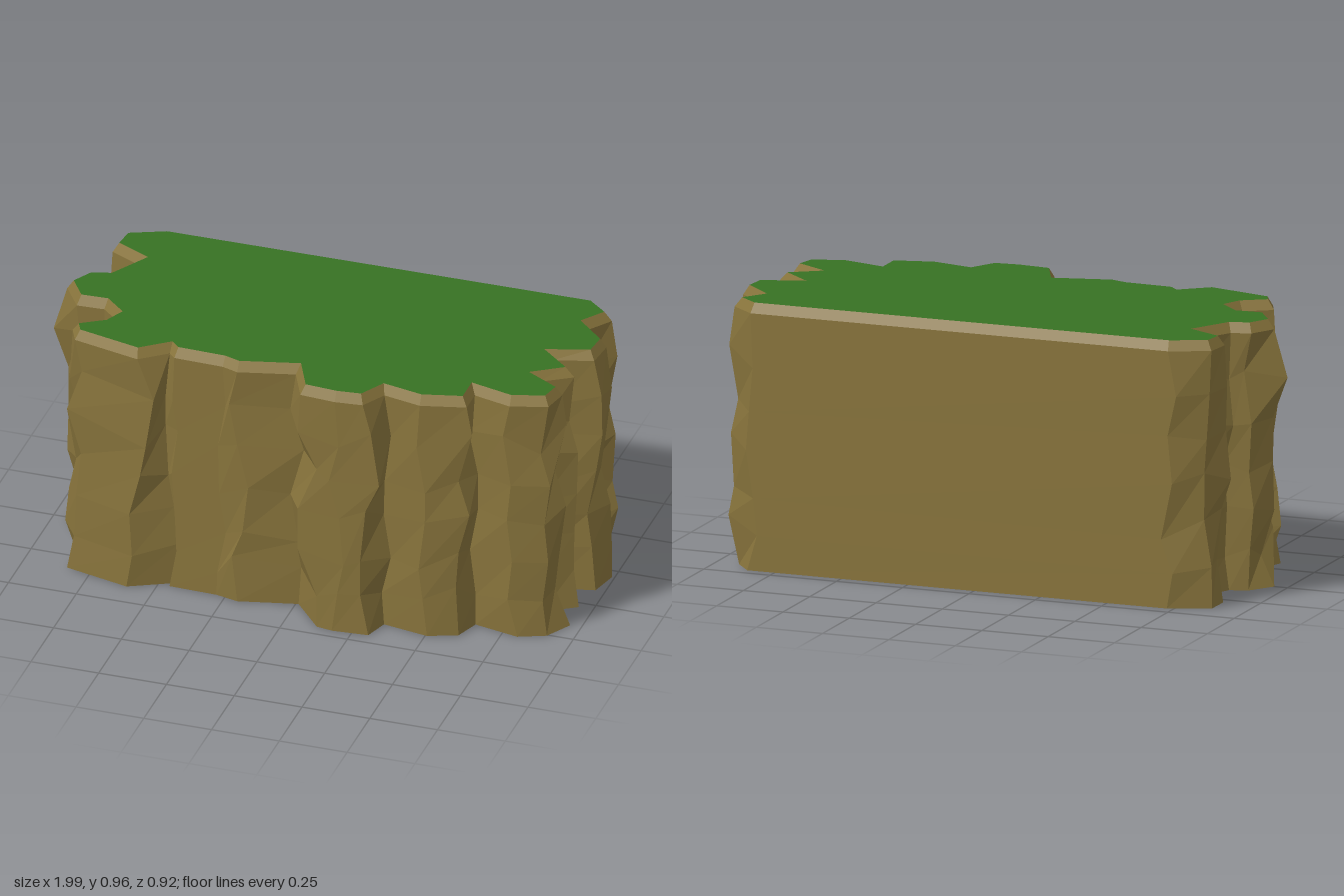
import * as THREE from 'three';

// Cliff columns [x, z], running from back right round the front to back left
const OUTLINE = [
  [0.84, -0.46], [0.93, -0.385], [0.87, -0.3], [0.97, -0.205], [0.96, -0.1], [0.82, -0.06],
  [0.93, 0.03], [0.82, 0.1], [0.93, 0.16], [0.91, 0.255], [0.78, 0.295], [0.64, 0.26],
  [0.64, 0.35], [0.48, 0.39], [0.34, 0.36], [0.29, 0.45], [0.19, 0.46], [0.06, 0.45],
  [0, 0.32], [-0.2, 0.37], [-0.26, 0.35], [-0.44, 0.345], [-0.465, 0.32], [-0.56, 0.395],
  [-0.81, 0.335], [-0.84, 0.27], [-0.745, 0.21], [-0.72, 0.155], [-0.78, 0.1], [-0.88, 0.105],
  [-0.95, 0], [-0.9, -0.09], [-0.83, -0.11], [-0.76, -0.23], [-0.88, -0.29], [-0.87, -0.39],
  [-0.73, -0.45],
];
const ROWS = [0, 0.14, 0.29, 0.45, 0.61, 0.77, 0.925];
const TOP = 0.96;

// Prominent ridges: x of each row below the rim, bottom to top
const RIDGES = {
  3: [0.99, 0.99, 0.985, 0.95, 0.97, 0.99],
  12: [0.61, 0.6, 0.61, 0.65, 0.61, 0.66],
  15: [0.31, 0.28, 0.28, 0.3, 0.35, 0.32],
  17: [0.12, 0.12, 0.05, 0.05, 0.12, 0.05],
  18: [0.01, 0.02, 0.01, -0.02, 0.03, -0.02],
  19: [-0.2, -0.22, -0.18, -0.16, -0.2, -0.23],
  22: [-0.45, -0.43, -0.45, -0.47, -0.48, -0.48],
  23: [-0.6, -0.58, -0.59, -0.55, -0.53, -0.5],
  30: [-0.95, -0.9, -0.95, -0.945, -0.945, -1],
};

function seeded(seed) {
  return () => {
    seed = (seed * 16807) % 2147483647;
    return (seed / 2147483647) * 2 - 1;
  };
}

// Shrink the outline for the bevelled rim
function inset(points, amount) {
  const n = points.length;
  return points.map((p, i) => {
    const a = points[(i + n - 1) % n], b = points[(i + 1) % n];
    const normal = (s, e) => new THREE.Vector2(-(e[1] - s[1]), e[0] - s[0]).normalize();
    const n1 = normal(a, p), n2 = normal(p, b);
    const miter = n1.clone().add(n2).normalize();
    const length = amount / Math.max(0.6, miter.dot(n1));
    return [p[0] + miter.x * length, p[1] + miter.y * length];
  });
}

export function createModel() {
  const rock = new THREE.MeshStandardMaterial({ color: 0x88743c, flatShading: true, side: THREE.DoubleSide });
  rock.name = 'rock brown';
  const grass = new THREE.MeshStandardMaterial({ color: 0x377223, side: THREE.DoubleSide });
  grass.name = 'grass green';

  const rand = seeded(4217);
  const rim = inset(OUTLINE, 0.02);
  const n = OUTLINE.length;
  const levels = ROWS.length + 1;
  const positions = [];

  // Each column keeps its depth and wanders sideways and in height
  OUTLINE.forEach(([x, z], i) => {
    const lift = rand() * 0.025;
    ROWS.forEach((y, r) => {
      const inner = r > 0 && r < ROWS.length - 1;
      const dx = rand() * 0.032, dy = rand() * 0.03 + lift;
      const px = r === ROWS.length - 1 ? x : RIDGES[i] ? RIDGES[i][r] : x + dx;
      positions.push(THREE.MathUtils.clamp(px, -1, 0.99), inner ? y + dy : y, z);
    });
    positions.push(rim[i][0], TOP, rim[i][1]);
  });

  const index = [];
  for (let i = 0; i < n; i++) {
    for (let r = 0; r < levels - 1; r++) {
      const a = i * levels + r, b = ((i + 1) % n) * levels + r;
      index.push(a, a + 1, b, b, a + 1, b + 1);
    }
  }
  const wallGeometry = new THREE.BufferGeometry();
  wallGeometry.setAttribute('position', new THREE.Float32BufferAttribute(positions, 3));
  wallGeometry.setIndex(index);
  const facets = wallGeometry.toNonIndexed();
  facets.computeVertexNormals();
  const wall = new THREE.Mesh(facets, rock);
  wall.name = 'rockWall';

  // Flat grass cap inside the rim
  const shape = new THREE.Shape(rim.map(([x, z]) => new THREE.Vector2(x, -z)));
  const capGeometry = new THREE.ShapeGeometry(shape).rotateX(-Math.PI / 2).translate(0, TOP, 0);
  const cap = new THREE.Mesh(capGeometry, grass);
  cap.name = 'grassTop';

  const group = new THREE.Group();
  group.name = 'cliff';
  group.add(wall, cap);
  return group;
}
